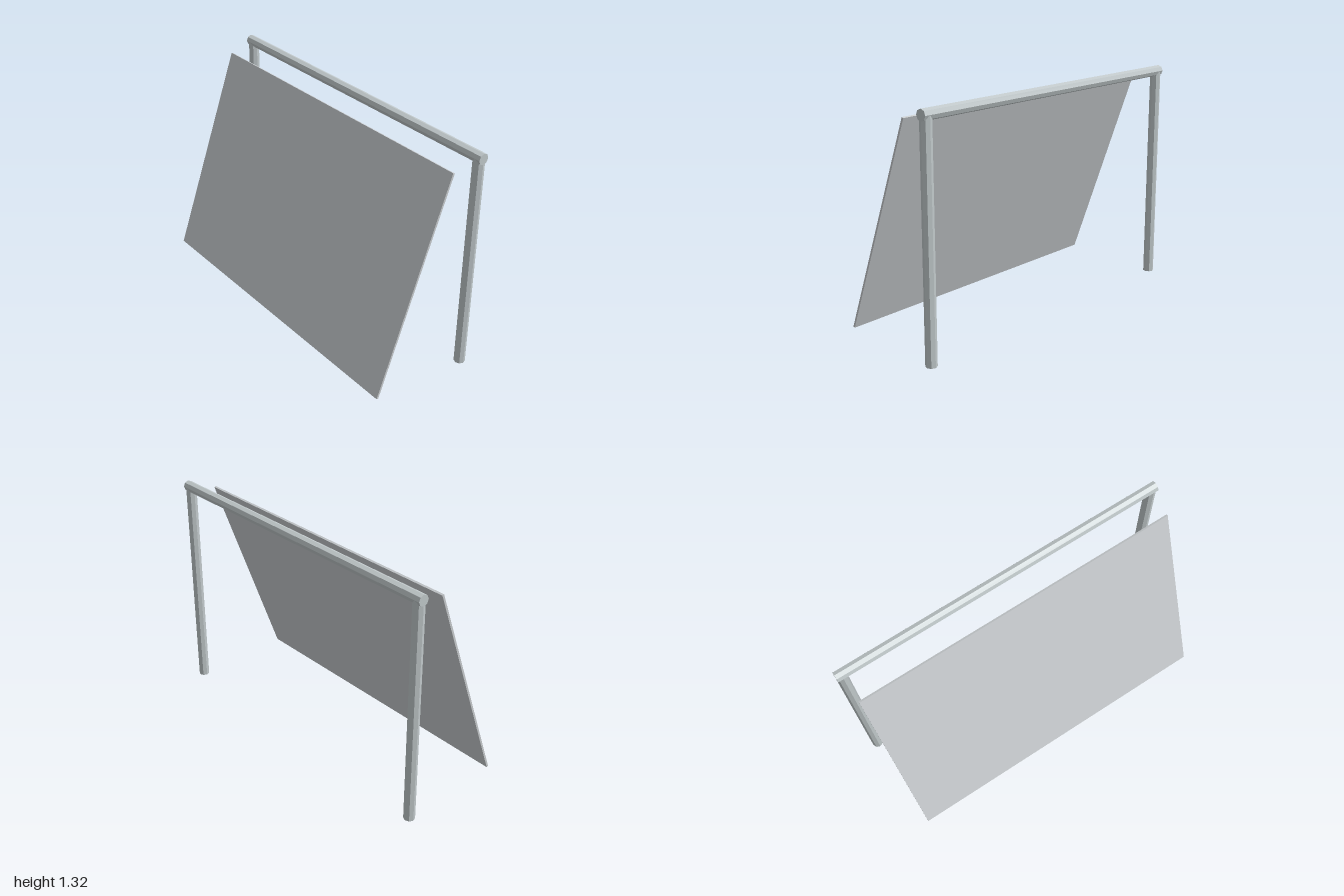
import * as THREE from 'three';

export function createModel() {
  const model = new THREE.Group();
  const frameMetal = new THREE.MeshStandardMaterial({ color: 0xc0c8ca, flatShading: true });
  frameMetal.name = 'frame metal';
  const panelGrey = new THREE.MeshStandardMaterial({ color: 0xc8cccf, flatShading: true });
  panelGrey.name = 'panel grey';

  const radius = 0.0315, railY = 1.29, frameZ = -0.29;

  const add = (name, geometry, material, x, y, z) => {
    const mesh = new THREE.Mesh(geometry, material);
    mesh.name = name;
    mesh.position.set(x, y, z);
    model.add(mesh);
    return mesh;
  };

  // Eight-sided rail across the top
  const rail = add('topRail', new THREE.CylinderGeometry(radius, radius, 2, 8), frameMetal, 0, railY, frameZ);
  rail.rotation.z = Math.PI / 2;

  // Two legs ending inside the rail
  for (const side of [-1, 1]) {
    add(side > 0 ? 'leftLeg' : 'rightLeg', new THREE.CylinderGeometry(radius, radius, railY, 8),
      frameMetal, side * (1 - radius), railY / 2, frameZ);
  }

  // Thin panel leaning back towards the rail
  const panel = add('leaningPanel', new THREE.BoxGeometry(1.93, 1.288, 0.012), panelGrey, 0, 0.648, 0.096);
  panel.rotation.x = -THREE.MathUtils.degToRad(20);

  return model;
}
